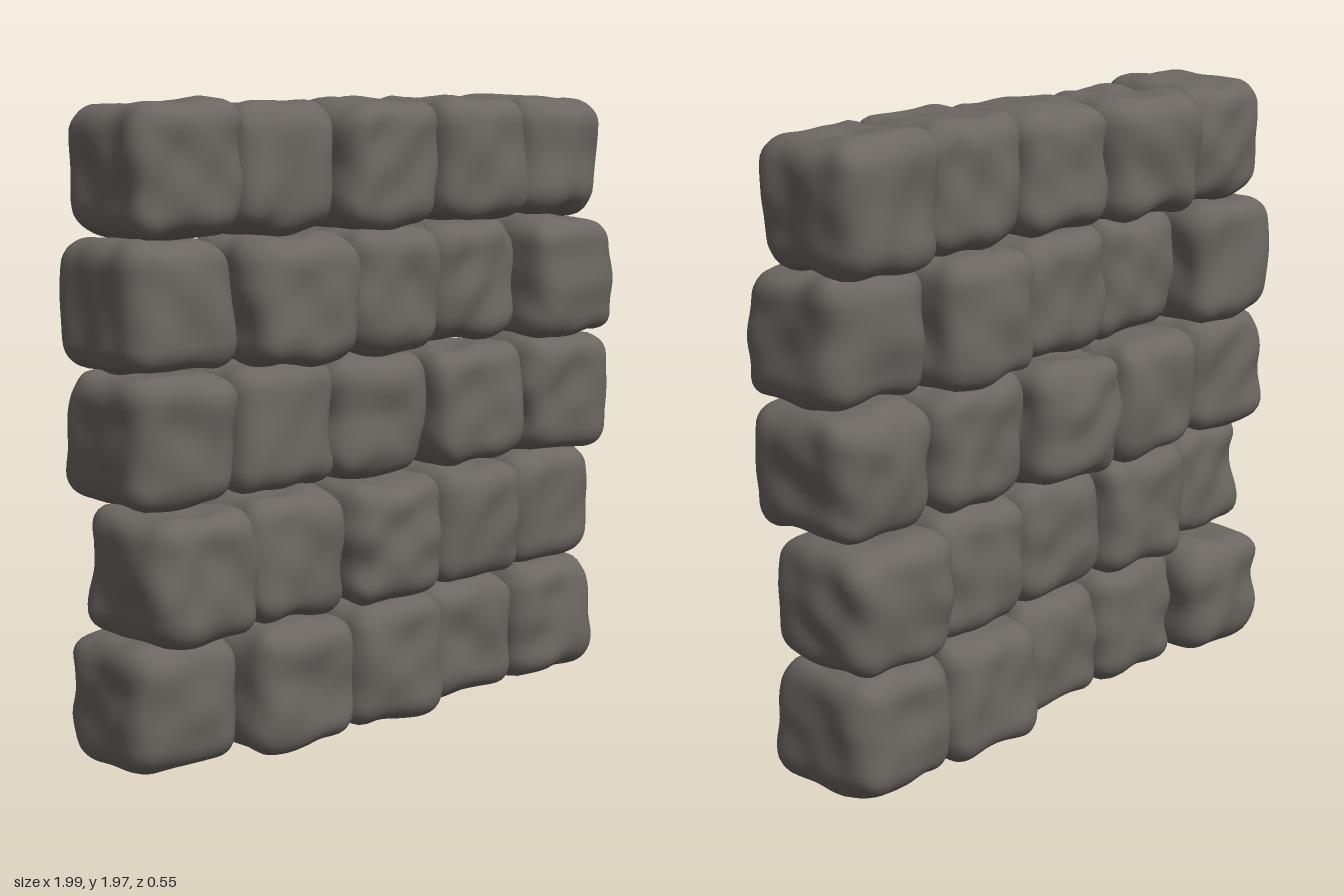
import * as THREE from 'three';
import { mergeVertices } from 'three/addons/utils/BufferGeometryUtils.js';

// Small seeded generator, returns -1..1
function seeded(seed) {
  let s = seed * 7919 + 17;
  return () => {
    s = (s * 16807) % 2147483647;
    return (s / 2147483647) * 2 - 1;
  };
}

// One lumpy block: a rounded box with shifted corners and soft dents
function stoneGeometry(seed, w, h, d) {
  const rnd = seeded(seed);
  for (let i = 0; i < 10; i++) rnd();
  const corners = Array.from({ length: 8 }, () =>
    new THREE.Vector3(rnd(), rnd(), rnd()).multiplyScalar(0.007));
  const waves = Array.from({ length: 12 }, (_, i) => ({
    dir: new THREE.Vector3(rnd(), rnd(), rnd()).normalize().multiplyScalar(i < 5 ? 20 : 42),
    phase: rnd() * Math.PI,
    amp: i < 5 ? 0.003 : 0.0021,
  }));

  let geo = new THREE.BoxGeometry(w, h, d, 18, 18, 18);
  geo.deleteAttribute('normal');
  geo.deleteAttribute('uv');
  geo = mergeVertices(geo, 1e-4);

  const radius = 0.08;
  const max = new THREE.Vector3(w / 2, h / 2, d / 2).subScalar(radius);
  const min = max.clone().negate();
  const pos = geo.attributes.position;
  const p = new THREE.Vector3(), inner = new THREE.Vector3(), n = new THREE.Vector3();
  for (let i = 0; i < pos.count; i++) {
    p.fromBufferAttribute(pos, i);
    const t = [p.x / w + 0.5, p.y / h + 0.5, p.z / d + 0.5];
    inner.copy(p).clamp(min, max);
    n.copy(p).sub(inner).normalize();
    p.copy(inner).addScaledVector(n, radius);
    // dents
    let bump = 0;
    for (const k of waves) bump += k.amp * Math.sin(k.dir.dot(p) + k.phase);
    p.addScaledVector(n, bump);
    // corner shifts
    corners.forEach((c, j) => {
      const weight = (j & 1 ? t[0] : 1 - t[0]) * (j & 2 ? t[1] : 1 - t[1]) * (j & 4 ? t[2] : 1 - t[2]);
      p.addScaledVector(c, weight);
    });
    pos.setXYZ(i, p.x, p.y, p.z);
  }
  geo.computeVertexNormals();
  return geo;
}

export function createModel() {
  const wall = new THREE.Group();
  wall.name = 'stoneWall';
  const stone = new THREE.MeshStandardMaterial({ color: 0x6b6661 });
  stone.name = 'grey stone';

  // How far each block sits forward or back, top row first, left to right
  const depthShift = [
    [0.008, -0.04, 0.006, 0.01, -0.028],
    [-0.045, 0.06, 0.015, -0.045, 0.042],
    [-0.03, -0.05, -0.055, 0.0, 0.015],
    [0.06, 0.0, 0.03, 0.005, -0.06],
    [-0.04, 0.04, 0.035, -0.05, -0.04],
  ];
  depthShift.forEach((row, r) => row.forEach((z, c) => {
    const mesh = new THREE.Mesh(stoneGeometry(r * 5 + c + 1, 0.388, 0.382, 0.402), stone);
    mesh.name = `stoneRow${r + 1}Column${c + 1}`;
    mesh.position.set((c - 2) * 0.391 + 0.002, 0.207 + (4 - r) * 0.3885, z);
    wall.add(mesh);
  }));
  return wall;
}
